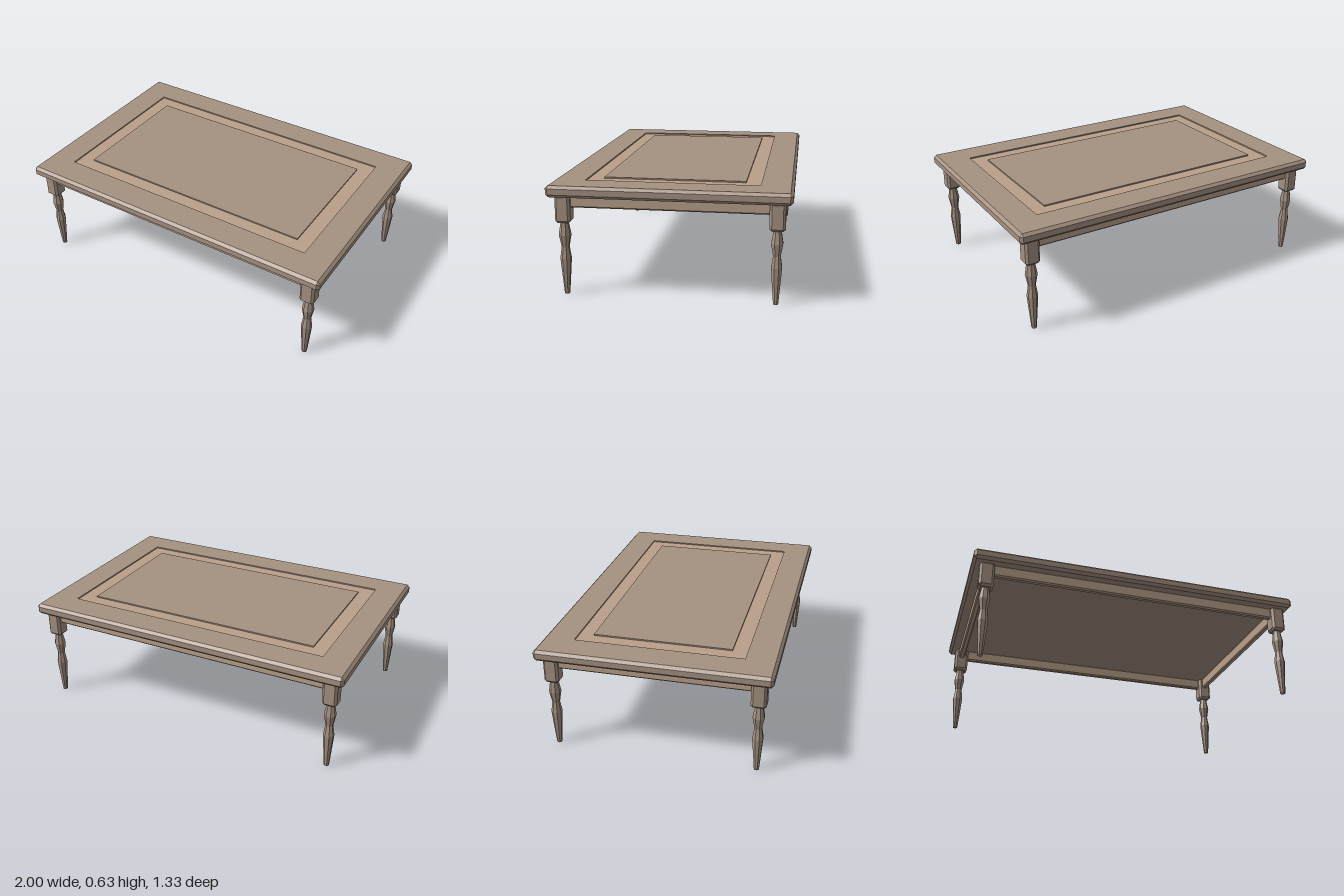
import * as THREE from 'three';

const wood = new THREE.MeshStandardMaterial({ color: 0xa59181, flatShading: true });
const lightWood = new THREE.MeshStandardMaterial({ color: 0xb9a08b, flatShading: true });

// Rectangle with cut corners: half sizes hx, hz, height y, corner cut c
function ring([hx, hz, y, c = 0]) {
  return [
    [hx, hz - c], [hx - c, hz], [-hx + c, hz], [-hx, hz - c],
    [-hx, -hz + c], [-hx + c, -hz], [hx - c, -hz], [hx, -hz + c],
  ].map(([x, z]) => new THREE.Vector3(x, y, z));
}

// Joins consecutive rings with flat faces
function loft(sections) {
  const rings = sections.map(ring);
  const positions = [];
  const tri = (a, b, c) => {
    const area = b.clone().sub(a).cross(c.clone().sub(a)).length();
    if (area > 1e-9) for (const p of [a, b, c]) positions.push(p.x, p.y, p.z);
  };
  for (let i = 0; i < rings.length - 1; i++) {
    for (let j = 0; j < 8; j++) {
      const k = (j + 1) % 8;
      const a = rings[i][j], b = rings[i][k], c = rings[i + 1][k], d = rings[i + 1][j];
      tri(a, c, b);
      tri(a, d, c);
    }
  }
  const geometry = new THREE.BufferGeometry();
  geometry.setAttribute('position', new THREE.Float32BufferAttribute(positions, 3));
  geometry.computeVertexNormals();
  return geometry;
}

// Closed box with every edge chamfered by b
function chamferBox(hx, hz, y0, y1, b) {
  return loft([
    [0, 0, y0], [hx - b, hz - b, y0], [hx, hz, y0 + b, b],
    [hx, hz, y1 - b, b], [hx - b, hz - b, y1], [0, 0, y1],
  ]);
}

function add(parent, name, geometry, material, x = 0, z = 0) {
  const mesh = new THREE.Mesh(geometry, material);
  mesh.name = name;
  mesh.position.set(x, 0, z);
  parent.add(mesh);
  return mesh;
}

export function createModel() {
  const table = new THREE.Group();
  table.name = 'table';

  // Top with chamfered rim and a shallow rectangular channel
  const y0 = 0.57, y1 = 0.635, b = 0.016, floor = y1 - 0.008;
  const outer = [0.82, 0.485], inner = [0.732, 0.4];
  add(table, 'tabletop', loft([
    [0, 0, y0], [1 - b, 0.665 - b, y0], [1, 0.665, y0 + b, b],
    [1, 0.665, y1 - b, b], [1 - b, 0.665 - b, y1],
    [...outer, y1], [...outer, floor],
  ]), wood);
  add(table, 'inlayBand', loft([[...outer, floor], [...inner, floor]]), lightWood);
  add(table, 'centrePanel', loft([[...inner, floor], [...inner, y1], [0, 0, y1]]), wood);

  // Rails under the top, running between the leg blocks
  const legX = 0.916, legZ = 0.584;
  for (const s of [1, -1]) {
    add(table, s > 0 ? 'frontRail' : 'backRail',
      chamferBox(legX - 0.02, 0.018, 0.503, 0.575, 0.008), lightWood, 0, s * legZ);
    add(table, s > 0 ? 'leftRail' : 'rightRail',
      chamferBox(0.018, legZ - 0.02, 0.503, 0.575, 0.008), lightWood, s * legX, 0);
  }

  // Legs: square block above an eight-sided turned shaft
  const profile = [
    [0, 0], [0.015, 0], [0.027, 0.145], [0.032, 0.21], [0.022, 0.275],
    [0.035, 0.345], [0.023, 0.415], [0.023, 0.43],
  ].map(([r, y]) => new THREE.Vector2(r, y));
  const shaft = new THREE.LatheGeometry(profile, 8, Math.PI / 8);
  const block = chamferBox(0.043, 0.043, 0.417, 0.575, 0.013);
  for (const sx of [1, -1]) {
    for (const sz of [1, -1]) {
      const leg = new THREE.Group();
      leg.name = (sz > 0 ? 'front' : 'back') + (sx > 0 ? 'Left' : 'Right') + 'Leg';
      leg.position.set(sx * legX, 0, sz * legZ);
      add(leg, 'legBlock', block, wood);
      add(leg, 'turnedShaft', shaft, wood);
      table.add(leg);
    }
  }
  return table;
}
